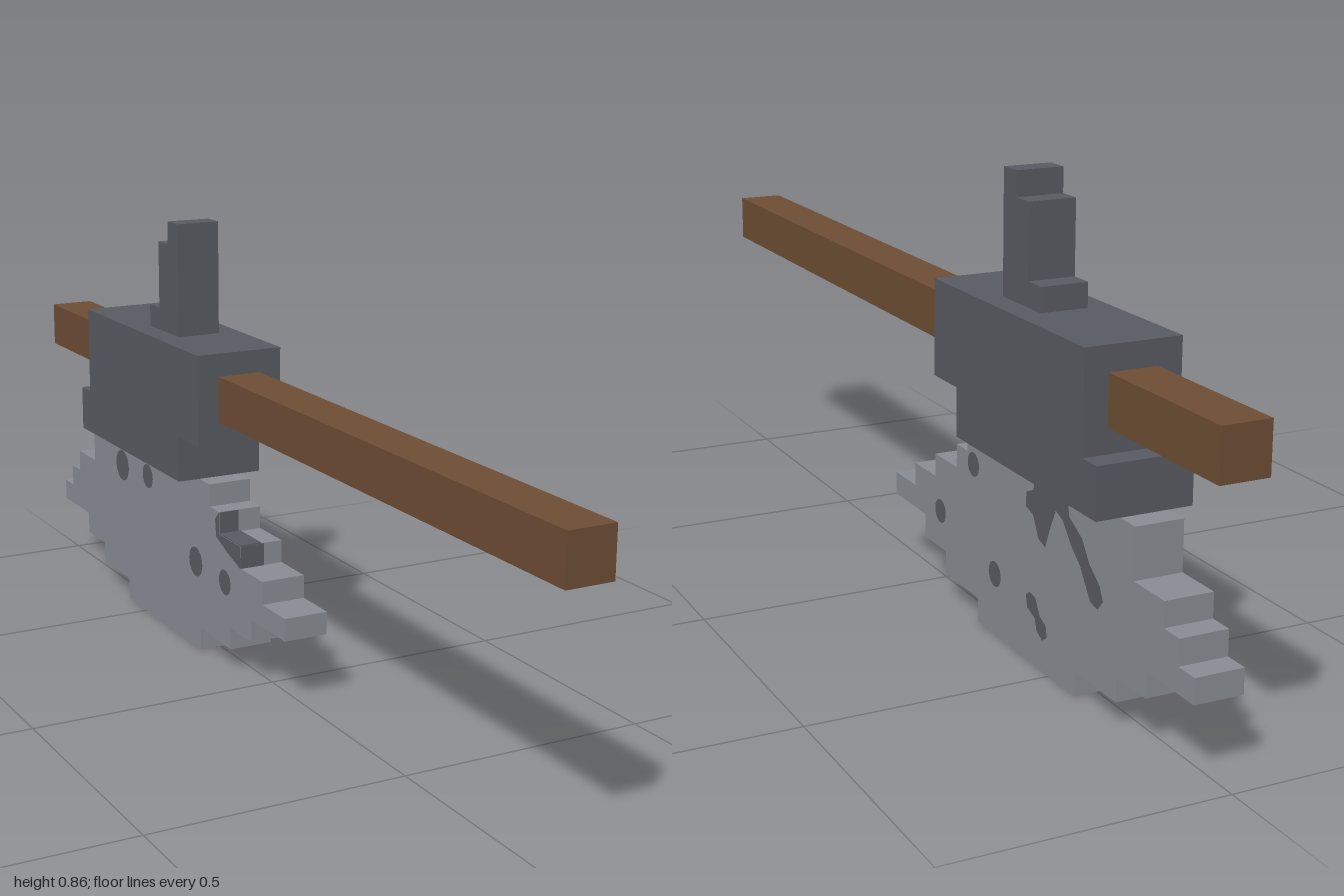
import * as THREE from 'three';

const mat = (name, color) => {
  const m = new THREE.MeshStandardMaterial({ color });
  m.name = name;
  return m;
};

export function createModel() {
  const group = new THREE.Group();
  const wood = mat('brown wood', 0x6e4e34);
  const iron = mat('dark iron', 0x585b62);
  const steel = mat('grey steel', 0x898d94);

  const add = (name, geometry, material) => {
    const mesh = new THREE.Mesh(geometry, material);
    mesh.name = name;
    group.add(mesh);
    return mesh;
  };

  // Stepped slab across x; rows run bottom to top as [topY, frontZ, backZ]
  const steppedSlab = (name, bottomY, rows, width, material) => {
    const front = [], back = [];
    let y = bottomY;
    for (const [top, zf, zb] of rows) {
      front.push(new THREE.Vector2(-zf, y), new THREE.Vector2(-zf, top));
      back.push(new THREE.Vector2(-zb, y), new THREE.Vector2(-zb, top));
      y = top;
    }
    const shape = new THREE.Shape([...back, ...front.reverse()]);
    const g = new THREE.ExtrudeGeometry(shape, { depth: width, bevelEnabled: false });
    g.translate(0, 0, -width / 2).rotateY(Math.PI / 2);
    add(name, g, material);
  };

  // Handle
  const handle = add('handle', new THREE.BoxGeometry(0.09, 0.091, 2), wood);
  handle.position.y = 0.546;

  // Head block and top spike
  steppedSlab('headBlock', 0.364, [[0.456, -0.228, -0.727], [0.637, -0.137, -0.682]], 0.18, iron);
  steppedSlab('topSpike', 0.637, [
    [0.682, -0.318, -0.455], [0.818, -0.318, -0.409], [0.864, -0.318, -0.364],
  ], 0.09, iron);

  // Stepped blade
  steppedSlab('blade', 0, [
    [0.046, -0.228, -0.591], [0.091, -0.091, -0.727], [0.137, 0, -0.818],
    [0.182, 0.137, -0.955], [0.228, 0.046, -0.909], [0.273, -0.046, -0.864],
    [0.318, -0.137, -0.773], [0.364, -0.182, -0.773],
  ], 0.09, steel);

  // Dark stains laid on the blade sides; side is +1 (left) or -1 (right)
  const stain = (name, side, shape) => {
    const g = new THREE.ShapeGeometry(shape, 10);
    g.rotateY(side * Math.PI / 2).translate(side * 0.0465, 0, 0);
    add(name, g, iron);
  };
  const spot = (side, z, y, r) =>
    stain('spot', side, new THREE.Shape().absarc(-side * z, y, r, 0, Math.PI * 2));
  const patch = (name, side, points) =>
    stain(name, side, new THREE.Shape(points.map(([z, y]) => new THREE.Vector2(-side * z, y))));

  for (const [z, y, r] of [[-0.209, 0.3, 0.023], [-0.07, 0.166, 0.023], [-0.297, 0.118, 0.024]])
    spot(1, z, y, r);
  patch('doubleSpot', 1, [
    [-0.417, 0.122], [-0.43, 0.132], [-0.452, 0.128], [-0.468, 0.1], [-0.49, 0.09],
    [-0.495, 0.07], [-0.478, 0.058], [-0.458, 0.068], [-0.45, 0.09], [-0.422, 0.1],
  ]);
  patch('branchStain', 1, [
    [-0.425, 0.364], [-0.445, 0.345], [-0.44, 0.322], [-0.415, 0.312], [-0.413, 0.285],
    [-0.44, 0.277], [-0.46, 0.24], [-0.485, 0.232], [-0.498, 0.265], [-0.52, 0.31],
    [-0.545, 0.3], [-0.575, 0.265], [-0.605, 0.24], [-0.64, 0.19], [-0.665, 0.185],
    [-0.682, 0.205], [-0.67, 0.228], [-0.635, 0.255], [-0.61, 0.29], [-0.565, 0.315],
    [-0.56, 0.364],
  ]);
  for (const [z, y, r] of [[-0.613, 0.3, 0.034], [-0.479, 0.308, 0.026],
    [-0.246, 0.185, 0.031], [-0.113, 0.18, 0.026]])
    spot(-1, z, y, r);
  patch('edgeStain', -1, [
    [-0.046, 0.228], [-0.046, 0.273], [-0.137, 0.273], [-0.137, 0.318], [-0.155, 0.3],
    [-0.15, 0.265], [-0.1, 0.245],
  ]);

  // Stain wrapping over the front steps
  const plate = (name, w, h, d, x, y, z) =>
    add(name, new THREE.BoxGeometry(w, h, d), iron).position.set(x, y, z);
  plate('upperStepStain', 0.041, 0.045, 0.004, -0.0245, 0.2955, -0.137);
  plate('stepTopStain', 0.045, 0.004, 0.091, -0.0225, 0.273, -0.0915);
  plate('lowerStepStain', 0.05, 0.045, 0.004, -0.02, 0.2505, -0.046);

  return group;
}
